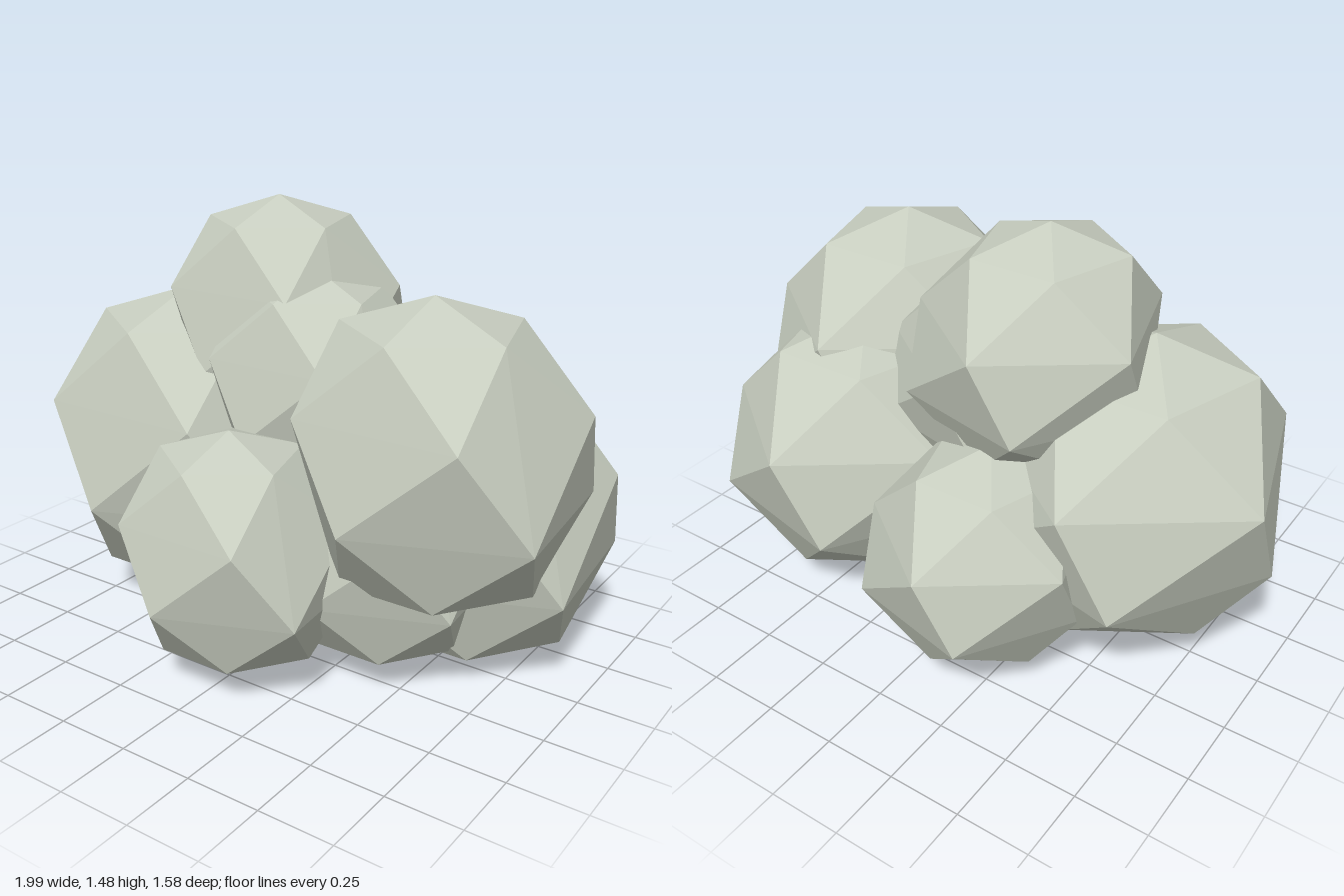
import * as THREE from 'three';
import { ConvexGeometry } from 'three/addons/geometries/ConvexGeometry.js';

// Unit faceted puff: a pole, four slightly irregular five-sided rings, a pole.
const rings = [
  [1, [[0, 0]]],
  [0.809, [[0, 0.575], [0.565, 0.18], [0.35, -0.5], [-0.35, -0.5], [-0.565, 0.18]]],
  [0.309, [[0, -1.04], [0.9, -0.385], [0.56, 0.7], [-0.56, 0.7], [-0.9, -0.385]]],
  [-0.309, [[-0.14, 0.84], [0.92, 0.41], [0.8, -0.72], [-0.3, -0.96], [-0.87, -0.05]]],
  [-0.809, [[0.33, 0.5], [0.72, -0.06], [0.18, -0.64], [-0.5, -0.22], [-0.33, 0.5]]],
  [-1, [[0.15, -0.04]]],
];

// Name, centre and radius of each puff in the cluster
const puffs = [
  ['leftSidePuff', 0.53, 0.79, 0.16, 0.49],
  ['rightSidePuff', -0.52, 0.605, 0.04, 0.545],
  ['topPuff', -0.205, 1.06, -0.075, 0.42],
  ['frontPuff', -0.01, 0.445, 0.46, 0.395],
  ['backLeftPuff', 0.5, 0.502, -0.13, 0.5],
  ['backPuff', -0.19, 0.445, -0.37, 0.4],
  ['middlePuff', 0.0, 0.87, 0.01, 0.4],
  ['lowerFrontPuff', 0.34, 0.435, 0.14, 0.39],
];

export function createModel() {
  const model = new THREE.Group();
  model.name = 'puffCluster';
  const paleSage = new THREE.MeshStandardMaterial({ color: 0xc8cec0 });
  paleSage.name = 'paleSage';

  const points = rings.flatMap(([y, ring]) => ring.map(([x, z]) => new THREE.Vector3(x, y, z)));
  const puffGeometry = new ConvexGeometry(points);

  for (const [name, x, y, z, radius] of puffs) {
    const puff = new THREE.Mesh(puffGeometry, paleSage);
    puff.name = name;
    puff.position.set(x, y, z);
    puff.scale.setScalar(radius);
    model.add(puff);
  }
  return model;
}
